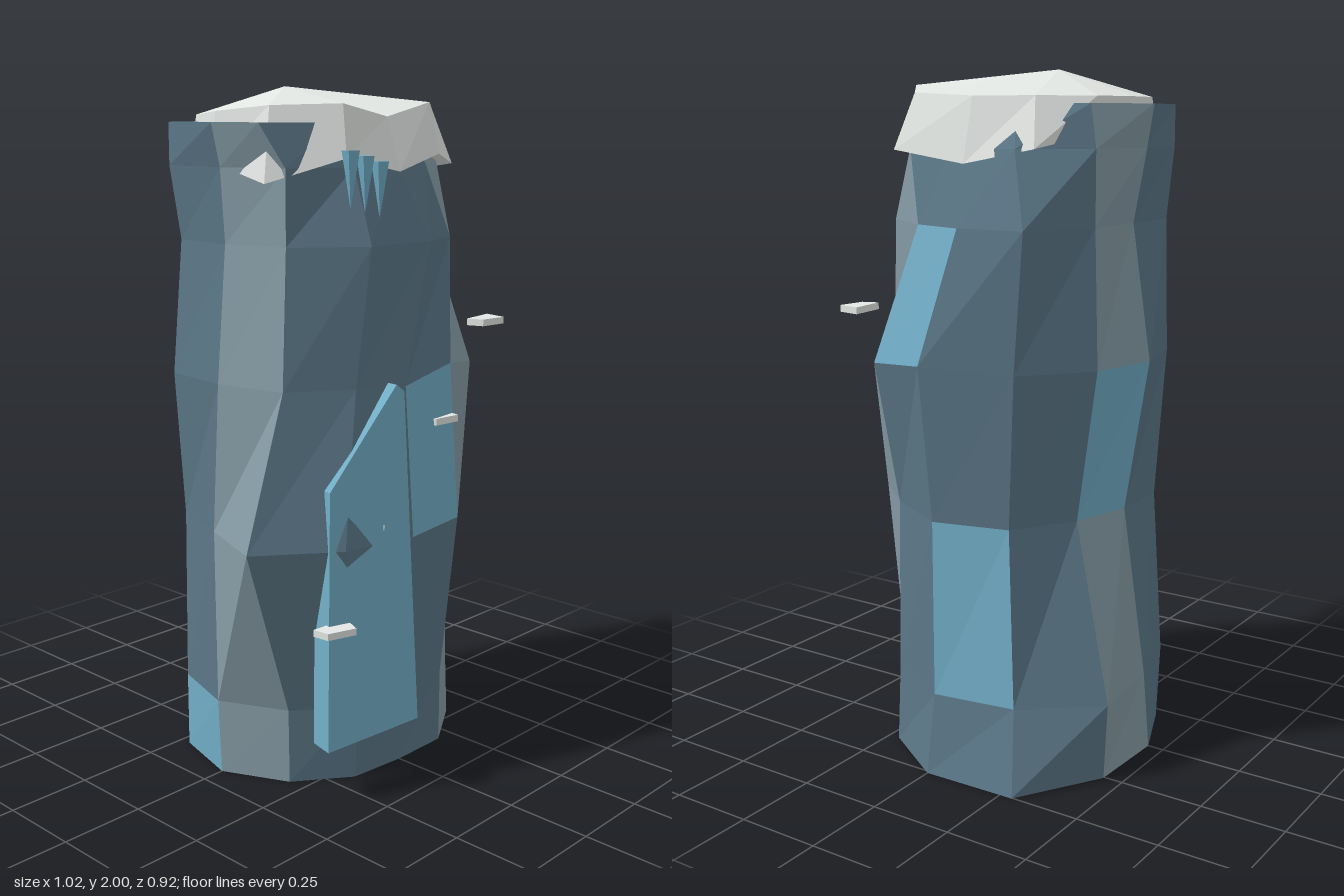
import * as THREE from 'three';

const SIDES = 12;

// ring of points about every 30 degrees, from +x towards +z;
// turn gives small angle offsets, heights gives uneven levels
function ring(y, radii, { turn = [], cz = 0, heights = [] } = {}) {
  return radii.map((r, k) => {
    const a = (k * 30 + (turn[k] ?? 0)) * Math.PI / 180;
    return [r * Math.cos(a), heights[k] ?? y, cz + r * Math.sin(a)];
  });
}

function meshFromTriangles(name, tris, material) {
  const g = new THREE.BufferGeometry();
  g.setAttribute('position', new THREE.Float32BufferAttribute(tris.flat(2), 3));
  g.computeVertexNormals();
  const m = new THREE.Mesh(g, material);
  m.name = name;
  return m;
}

// two outward triangles between neighbouring corners of two rings
function facet(low, high, k) {
  const n = (k + 1) % SIDES;
  return [[low[n], low[k], high[k]], [low[n], high[k], high[n]]];
}

// fan closing a ring, facing up or down
function fan(loop, centre, up) {
  return loop.map((p, k) => {
    const q = loop[(k + 1) % SIDES];
    return up ? [q, p, centre] : [p, q, centre];
  });
}

export function createModel() {
  const group = new THREE.Group();
  const mat = (name, color) => {
    const m = new THREE.MeshStandardMaterial({ color, flatShading: true });
    m.name = name;
    return m;
  };
  const rock = mat('slate rock', 0x5b7787);
  const paleRock = mat('pale rock', 0x869ca6);
  const ice = mat('ice blue', 0x72aec7);
  const snow = mat('snow', 0xe6eae7);

  // faceted rock column
  const rings = [
    ring(0, [.51, .43, .38, .33, .36, .39, .43, .43, .42, .45, .51, .58]),
    ring(.23, [.47, .42, .38, .345, .38, .40, .44, .43, .43, .43, .53, .50]),
    ring(.74, [.45, .40, .43, .425, .475, .552, .42, .42, .40, .37, .39, .45],
      { turn: [2, 5, 4, 8, 8, 8, 4, 4, 4, 4, 4, 2] }),
    ring(1.18, [.485, .48, .40, .37, .39, .44, .42, .45, .43, .43, .45, .48],
      { turn: [4, 1, 5, 6, 2, 0], heights: [1.19, 1.17, 1.21, 1.17] }),
    ring(1.57, [.44, .39, .38, .36, .38, .40, .385, .42, .42, .37, .43, .51],
      { turn: [-9, -14, -10, -13, -5, 0, 0, 0, 0, 0, 0, -3] }),
    ring(1.78, [.36, .36, .31, .29, .32, .40, .40, .45, .44, .41, .43, .42]),
    ring(1.9, [.28, .30, .25, .24, .315, .43, .43, .45, .44, .43, .40, .34],
      { turn: [0, 0, 0, 0, 9, 9] }),
  ];
  const icyFacets = ['0:6', '1:11', '2:2', '2:9', '3:0', '3:7']; // level:side
  const rockTris = [], paleTris = [], iceTris = [];
  for (let level = 0; level < rings.length - 1; level++) {
    for (let k = 0; k < SIDES; k++) {
      const list = icyFacets.includes(`${level}:${k}`) ? iceTris
        : k % 4 === 1 ? paleTris : rockTris;
      list.push(...facet(rings[level], rings[level + 1], k));
    }
  }
  rockTris.push(...fan(rings[0], [0, 0, 0], false));
  rockTris.push(...fan(rings[6], [-.05, 1.9, -.08], true));
  group.add(
    meshFromTriangles('rockColumn', rockTris, rock),
    meshFromTriangles('paleFacets', paleTris, paleRock),
    meshFromTriangles('icyFacets', iceTris, ice),
  );

  // snow cap with a drooping jagged skirt
  const rim = ring(1.92, [.345, .395, .365, .315, .365, .40, .36, .33, .32, .305, .33, .34],
    { cz: -.06, heights: [1.92, 1.93, 1.955, 1.915, 1.95, 1.945, 1.93] });
  const skirt = ring(1.82, [.39, .46, .395, .365, .40, .455, .37, .34, .33, .31, .33, .40],
    { cz: -.06, heights: [1.74, 1.775, 1.81, 1.765, 1.805, 1.74, 1.79, 1.82, 1.82, 1.82, 1.82, 1.78] });
  const capTris = [...fan(rim, [-.08, 2, -.07], true), ...fan(skirt, [0, 1.82, -.06], false)];
  for (let k = 0; k < SIDES; k++) capTris.push(...facet(skirt, rim, k));
  group.add(meshFromTriangles('snowCap', capTris, snow));

  // prism from an outline, extruded along its own z
  function prism(name, outline, depth, material) {
    const shape = new THREE.Shape(outline.map(([x, y]) => new THREE.Vector2(x, y)));
    const g = new THREE.ExtrudeGeometry(shape, { depth, bevelEnabled: false });
    const m = new THREE.Mesh(g, material);
    m.name = name;
    group.add(m);
    return m;
  }

  // leaning ice slab on the front
  const slab = prism('iceSlab',
    [[-.155, .16], [.145, .20], [.115, 1.17], [.09, 1.19], [-.13, .91]], .085, ice);
  slab.geometry.translate(0, 0, -.085);
  slab.position.set(-.215, 0, .427);
  slab.rotation.set(-.05, -.3, 0, 'YXZ');

  // small snowy ledges
  const ledges = [[.345, 1.315, .35, 0], [.12, 1.05, .36, 0], [-.12, .785, .372, 0], [-.335, .52, .375, -.2]];
  ledges.forEach(([x, y, z, turn], i) => {
    const ledge = prism(`snowLedge${i + 1}`, [[-.06, .02], [-.045, -.03], [.045, -.038], [.063, .038]], .02, snow);
    ledge.geometry.rotateX(-Math.PI / 2).translate(0, -.01, 0);
    ledge.position.set(x, y, z);
    ledge.rotation.y = turn;
  });

  // hanging icicles
  [[-.3, 1.83], [-.243, 1.815], [-.185, 1.8]].forEach(([x, top], i) => {
    const icicle = new THREE.Mesh(new THREE.ConeGeometry(.025, .15, 6), ice);
    icicle.rotation.x = Math.PI;
    icicle.position.set(x, top - .075, .393);
    icicle.name = `icicle${i + 1}`;
    group.add(icicle);
  });

  return group;
}
